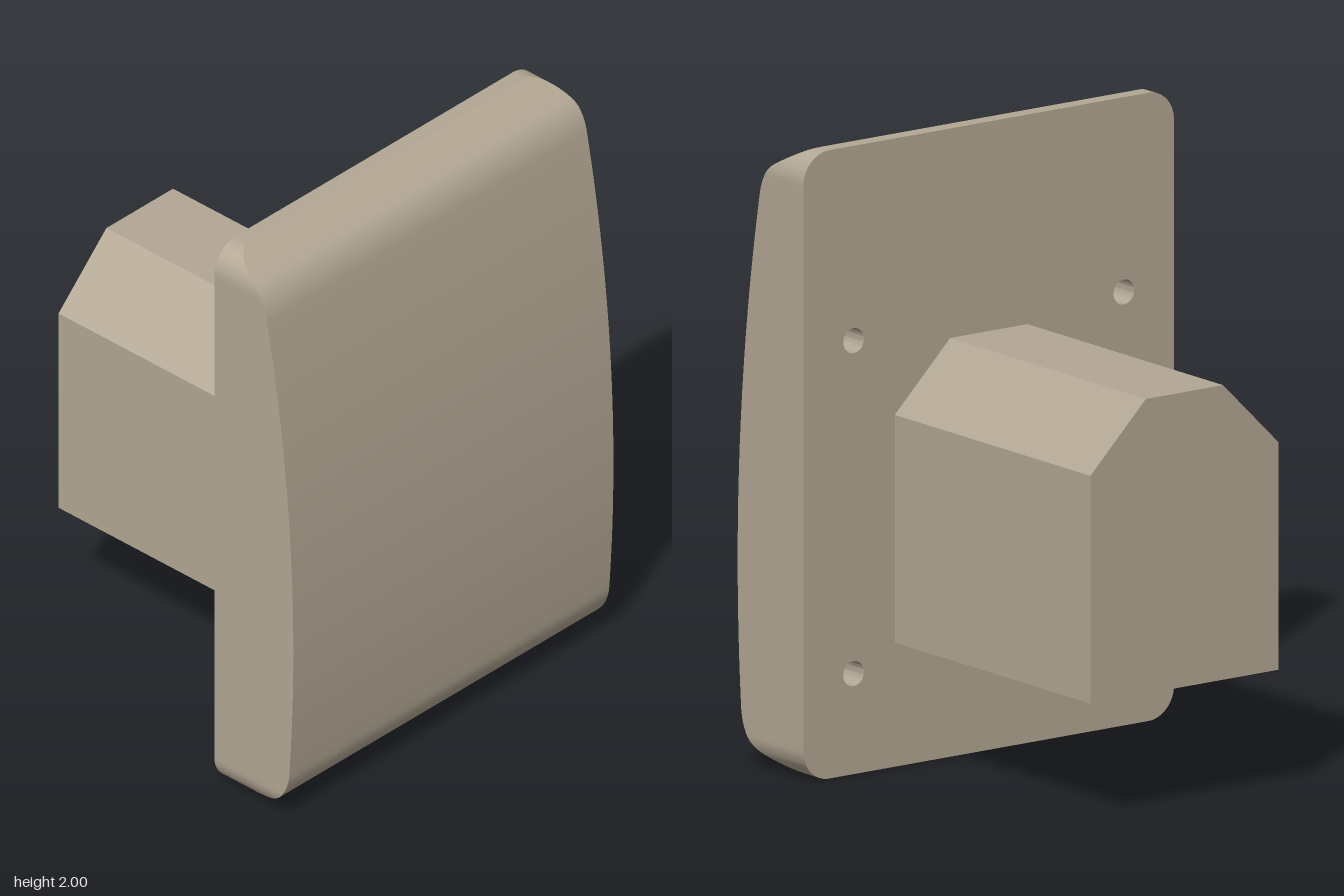
import * as THREE from 'three';
import { toCreasedNormals } from 'three/addons/utils/BufferGeometryUtils.js';

const HALF_W = 0.72, HEIGHT = 2, CORNER = 0.1;
const BACK = 0.333, POST_END = -0.667;
const HOLE_R = 0.04, HOLE_DEPTH = 0.15;
const HOLES = [[-0.525, 0.32], [0.525, 0.32], [-0.525, 1.38], [0.525, 1.38]];

// Front of the plate: a shallow bow
const bow = (y) => 0.669 - (y - 0.65) ** 2 / 12.4;

// Rounded corner from p to q with its tangents meeting at c, as [z, y] points
function fillet(p, c, q, weight) {
  const points = [];
  for (let i = 0; i <= 16; i++) {
    const t = i / 16, a = (1 - t) ** 2, b = 2 * weight * t * (1 - t), d = t * t;
    points.push([0, 1].map((k) => (a * p[k] + b * c[k] + d * q[k]) / (a + b + d)));
  }
  return points;
}

const lowerEdge = [[0.385, 0], ...fillet([0.55, 0.045], [0.645, 0.07], [bow(0.18), 0.18], 0.8)];
const upperEdge = [...fillet([bow(1.83), 1.83], [0.543, 1.91], [0.49, 1.94], 0.9), [0.385, 2]];

// Depth of the front surface at height y
function frontZ(y) {
  if (y > 0.18 && y < 1.83) return bow(y);
  const edge = y < 1 ? lowerEdge : upperEdge;
  let i = 1;
  while (i < edge.length - 1 && edge[i][1] < y) i++;
  const [z0, y0] = edge[i - 1], [z1, y1] = edge[i];
  return z0 + (z1 - z0) * (y - y0) / (y1 - y0);
}

// Half width of the rounded rectangle at height y
function halfWidth(y) {
  const d = Math.max(0, CORNER - Math.min(y, HEIGHT - y));
  return HALF_W - CORNER + Math.sqrt(Math.max(0, CORNER * CORNER - d * d));
}

// Plate front, sides, top and bottom: one rectangular section per height
function shellGeometry() {
  const corner = [];
  for (let i = 0; i < 20; i++) corner.push(CORNER * (1 - Math.cos(i / 20 * Math.PI / 2)));
  const heights = [...corner];
  for (let i = 0; i <= 90; i++) heights.push(CORNER + (HEIGHT - 2 * CORNER) * i / 90);
  heights.push(...corner.map((y) => HEIGHT - y).reverse());

  const pos = [], index = [];
  heights.forEach((y, i) => {
    const w = halfWidth(y), z = frontZ(y);
    pos.push(-w, y, BACK, -w, y, z, w, y, z, w, y, BACK);
    if (i === 0) return;
    for (let j = 0; j < 3; j++) {
      const a = (i - 1) * 4 + j, d = i * 4 + j;
      index.push(a, a + 1, d + 1, a, d + 1, d);
    }
  });
  const t = (heights.length - 1) * 4;
  index.push(0, 2, 1, 0, 3, 2, t, t + 1, t + 2, t, t + 2, t + 3);

  const geometry = new THREE.BufferGeometry();
  geometry.setAttribute('position', new THREE.Float32BufferAttribute(pos, 3));
  geometry.setIndex(index);
  return toCreasedNormals(geometry, 0.4);
}

// Flat back with screw holes
function backGeometry() {
  const x = HALF_W - CORNER, s = new THREE.Shape();
  s.absarc(x, CORNER, CORNER, -Math.PI / 2, 0);
  s.absarc(x, HEIGHT - CORNER, CORNER, 0, Math.PI / 2);
  s.absarc(-x, HEIGHT - CORNER, CORNER, Math.PI / 2, Math.PI);
  s.absarc(-x, CORNER, CORNER, Math.PI, Math.PI * 1.5);
  for (const [hx, hy] of HOLES) {
    s.holes.push(new THREE.Path().absarc(hx, hy, HOLE_R, 0, Math.PI * 2, true));
  }
  return new THREE.ShapeGeometry(s, 20).rotateY(Math.PI).translate(0, 0, BACK);
}

// Post with chamfered upper edges
function postGeometry() {
  const outline = [[-0.365, 0.395], [0.365, 0.395], [0.365, 1.12], [0.15, 1.333], [-0.15, 1.333], [-0.365, 1.12]];
  const shape = new THREE.Shape(outline.map(([x, y]) => new THREE.Vector2(x, y)));
  return new THREE.ExtrudeGeometry(shape, { depth: BACK - POST_END, bevelEnabled: false })
    .translate(0, 0, POST_END);
}

export function createModel() {
  const model = new THREE.Group();
  model.name = 'platedPost';
  const material = new THREE.MeshStandardMaterial({ color: 0xb3a794 });
  const inner = new THREE.MeshStandardMaterial({ color: 0xb3a794, side: THREE.DoubleSide });

  const add = (name, geometry, mat = material) => {
    const mesh = new THREE.Mesh(geometry, mat);
    mesh.name = name;
    model.add(mesh);
    return mesh;
  };

  add('plateFront', shellGeometry());
  add('plateBack', backGeometry());
  add('post', postGeometry());

  // Blind screw holes
  const profile = [[0, HOLE_DEPTH], [HOLE_R, HOLE_DEPTH], [HOLE_R, 0]].map(([x, y]) => new THREE.Vector2(x, y));
  const hole = toCreasedNormals(new THREE.LatheGeometry(profile, 40).rotateX(Math.PI / 2), 0.6);
  for (const [x, y] of HOLES) add('screwHole', hole, inner).position.set(x, y, BACK);

  return model;
}
